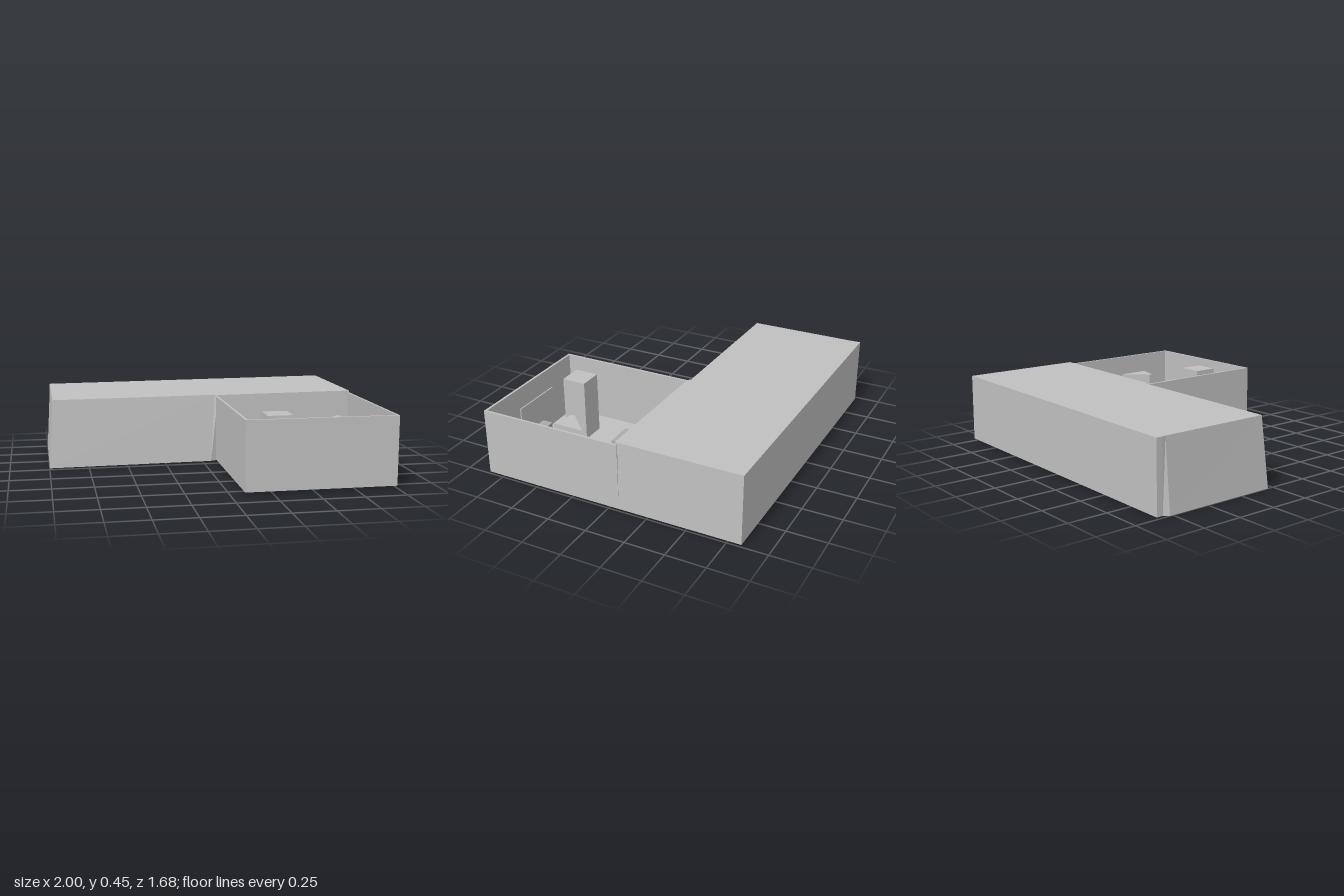
import * as THREE from 'three';

const wallGrey = new THREE.MeshStandardMaterial({ color: 0xc0c0c0 });
wallGrey.name = 'wall grey';
const darkGrey = new THREE.MeshStandardMaterial({ color: 0xaaaaaa });
darkGrey.name = 'furniture grey';

// Joins a bottom and a top outline of [x, z] points into a closed, faceted solid.
function loft(bottom, top, bottomY, topY) {
  const low = bottom.map(([x, z]) => [x, bottomY(x), z]);
  const high = top.map(([x, z]) => [x, topY(x), z]);
  const positions = [];
  const tri = (a, b, c) => positions.push(...a, ...b, ...c);
  low.forEach((_, i) => {
    const j = (i + 1) % low.length;
    tri(low[j], low[i], high[i]);
    tri(low[j], high[i], high[j]);
  });
  const caps = (outline) => THREE.ShapeUtils.triangulateShape(outline.map(([x, z]) => new THREE.Vector2(x, z)), []);
  caps(bottom).forEach(([a, b, c]) => tri(low[a], low[b], low[c]));
  caps(top).forEach(([a, b, c]) => tri(high[c], high[b], high[a]));
  const geometry = new THREE.BufferGeometry();
  geometry.setAttribute('position', new THREE.Float32BufferAttribute(positions, 3));
  geometry.computeVertexNormals();
  return geometry;
}

export function createModel() {
  const model = new THREE.Group();
  model.name = 'lShapedBuilding';

  const add = (parent, name, geometry, material = wallGrey) => {
    const mesh = new THREE.Mesh(geometry, material);
    mesh.name = name;
    parent.add(mesh);
    return mesh;
  };
  // Box given by its limits on each axis
  const addBox = (parent, name, [x0, x1], [y0, y1], [z0, z1], material) => {
    const mesh = add(parent, name, new THREE.BoxGeometry(x1 - x0, y1 - y0, z1 - z0), material);
    mesh.position.set((x0 + x1) / 2, (y0 + y1) / 2, (z0 + z1) / 2);
  };

  // Closed rear wing: slightly tilted, with splayed left and front walls
  const tilt = (base) => (x) => base + 0.0075 * (x + 1);
  add(model, 'rearWing', loft(
    [[-0.975, -0.84], [1, -0.84], [1, -0.055], [0.085, -0.055], [0.05, -0.04], [-1, -0.04], [-1, -0.77], [-0.975, -0.8]],
    [[-0.975, -0.84], [0.992, -0.84], [0.992, -0.055], [0.1, -0.055], [0.08, -0.073], [-0.97, -0.075], [-0.973, -0.78], [-0.975, -0.8]],
    tilt(0), tilt(0.435)));

  // Open-topped front room
  const room = new THREE.Group();
  room.name = 'frontRoom';
  model.add(room);
  const height = [0.015, 0.435];
  addBox(room, 'floor', [0.095, 0.99], [0.015, 0.03], [-0.06, 0.83]);
  addBox(room, 'leftWall', [0.985, 1], height, [-0.07, 0.84]);
  addBox(room, 'rightWall', [0.085, 0.1], height, [-0.06, 0.84]);
  addBox(room, 'frontWall', [0.1, 0.985], height, [0.825, 0.84]);

  // Furniture
  const furniture = new THREE.Group();
  furniture.name = 'furniture';
  model.add(furniture);
  addBox(furniture, 'bed', [0.265, 0.44], [0.03, 0.085], [0.03, 0.31], darkGrey);
  addBox(furniture, 'tallCabinet', [0.255, 0.41], [0.03, 0.425], [0.515, 0.67]);
  addBox(furniture, 'lowChest', [0.76, 0.9], [0.03, 0.095], [0.72, 0.82]);
  addBox(furniture, 'desk', [0.45, 0.64], [0.03, 0.11], [0.75, 0.82], darkGrey);
  addBox(furniture, 'wallPanel', [0.33, 0.68], [0.14, 0.3], [0.814, 0.822]);
  const wedge = [[0.81, 0.28], [0.81, 0.48], [0.67, 0.445], [0.67, 0.42]];
  add(furniture, 'wedgeCabinet', loft(wedge, wedge, () => 0.03, () => 0.347));

  return model;
}
